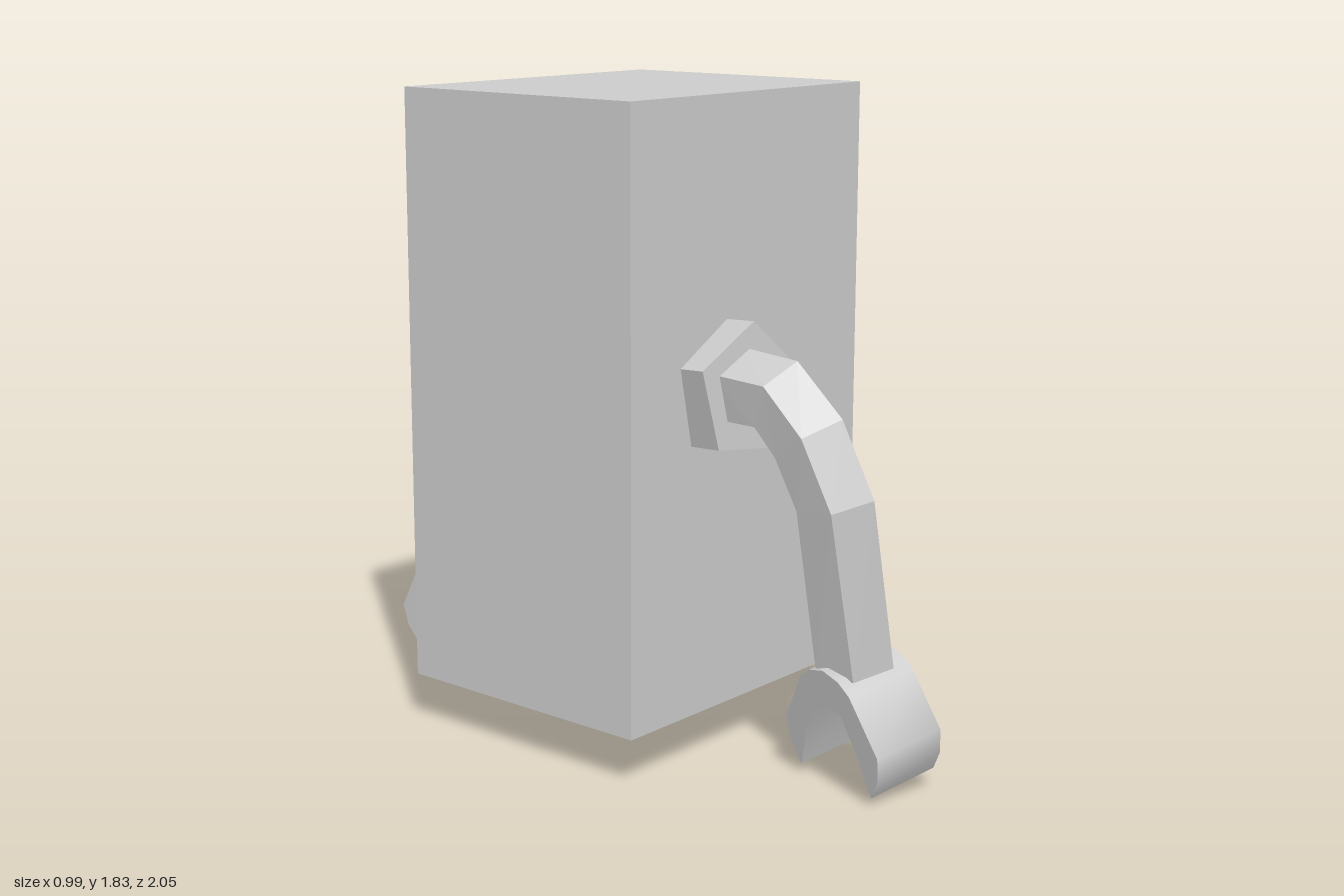
import * as THREE from 'three';
import { toCreasedNormals } from 'three/addons/utils/BufferGeometryUtils.js';

const V = (x, y, z) => new THREE.Vector3(x, y, z);
const grey = (flatShading) => new THREE.MeshStandardMaterial({ color: 0xcccccc, flatShading });

// Axes of a cross-section: t runs along the limb, s sideways, n to the outside of the bend
function frameAt(path, i, side) {
  const t = path[Math.min(i + 1, path.length - 1)].clone().sub(path[Math.max(i - 1, 0)]).normalize();
  const s = side.clone().addScaledVector(t, -side.dot(t)).normalize();
  return { t, s, n: t.clone().cross(s) };
}

// Capped five-sided limb along a path, twisting from angle a0 to a1
function limb(path, side, radius, a0, a1) {
  const N = 5, pos = [], idx = [], last = path.length - 1;
  path.forEach((p, i) => {
    const { s, n } = frameAt(path, i, side);
    for (let j = 0; j < N; j++) {
      const a = a0 + (a1 - a0) * i / last + j * Math.PI * 2 / N;
      const q = p.clone().addScaledVector(n, radius * Math.cos(a)).addScaledVector(s, radius * Math.sin(a));
      pos.push(q.x, q.y, q.z);
    }
  });
  for (let i = 0; i < last; i++) {
    for (let j = 0; j < N; j++) {
      const a = i * N + j, b = i * N + (j + 1) % N;
      idx.push(a, a + N, b, b, a + N, b + N);
    }
  }
  for (let j = 1; j < N - 1; j++) {
    idx.push(0, j, j + 1, last * N, last * N + j + 1, last * N + j);
  }
  const indexed = new THREE.BufferGeometry();
  indexed.setAttribute('position', new THREE.Float32BufferAttribute(pos, 3));
  indexed.setIndex(idx);
  const geo = indexed.toNonIndexed();
  geo.computeVertexNormals();
  return geo;
}

// Two-pronged arch, extruded across its width
function clawGeometry() {
  const half = [[0.06, 0.01], [0.1, -0.02], [0.19, -0.17], [0.18, -0.24], [0.145, -0.3],
    [0.105, -0.19], [0.055, -0.09]];
  const outline = [[0, 0.025], ...half, [0, -0.075], ...half.map(([u, v]) => [-u, v]).reverse()];
  const shape = new THREE.Shape(outline.map(([u, v]) => new THREE.Vector2(u, v)));
  const geo = new THREE.ExtrudeGeometry(shape, { depth: 0.22, bevelEnabled: false });
  geo.translate(0, 0, -0.11);
  return toCreasedNormals(geo, 0.8);
}

function buildArm(prefix, { shoulder, path, side, shoulderAngle, angles }) {
  const arm = new THREE.Group();
  arm.name = prefix + 'Arm';
  const add = (name, geo, flat) => {
    const mesh = new THREE.Mesh(geo, grey(flat));
    mesh.name = prefix + name;
    arm.add(mesh);
    return mesh;
  };
  add('Shoulder', limb(shoulder, side, 0.188, shoulderAngle, shoulderAngle), true);
  add('BentArm', limb(path, side, 0.108, ...angles), true);

  // Claw aligned with the end of the arm
  const { t, s, n } = frameAt(path, path.length - 1, side);
  const claw = add('Claw', clawGeometry(), false);
  claw.quaternion.setFromRotationMatrix(
    new THREE.Matrix4().makeBasis(n, t.clone().negate(), s.clone().negate()));
  claw.position.copy(path[path.length - 1]);
  return arm;
}

export function createModel() {
  const model = new THREE.Group();

  // Tall plain body
  const body = new THREE.Mesh(new THREE.BoxGeometry(0.985, 1.685, 0.82), grey(true));
  body.name = 'body';
  body.position.set(-0.002, 0.958, -0.02);
  model.add(body);

  // Front arm, slightly yawed
  model.add(buildArm('front', {
    shoulder: [V(-0.11, 1.005, 0.3), V(-0.138, 1.02, 0.503)],
    path: [V(-0.15, 1.03, 0.46), V(-0.16, 1.025, 0.62), V(-0.16, 0.93, 0.72),
      V(-0.147, 0.77, 0.795), V(-0.07, 0.31, 0.81)],
    side: V(0.97, 0, 0.25),
    shoulderAngle: 0.1,
    angles: [0.15, 0.5],
  }));

  // Back arm
  model.add(buildArm('back', {
    shoulder: [V(-0.01, 1.025, -0.35), V(-0.01, 1.025, -0.588)],
    path: [V(-0.015, 1.03, -0.55), V(-0.01, 1.02, -0.68), V(0.015, 0.93, -0.78),
      V(0.045, 0.77, -0.85), V(0.09, 0.29, -0.825)],
    side: V(-0.99, 0, 0.15),
    shoulderAngle: 0.47,
    angles: [0.47, 0.47],
  }));

  return model;
}
